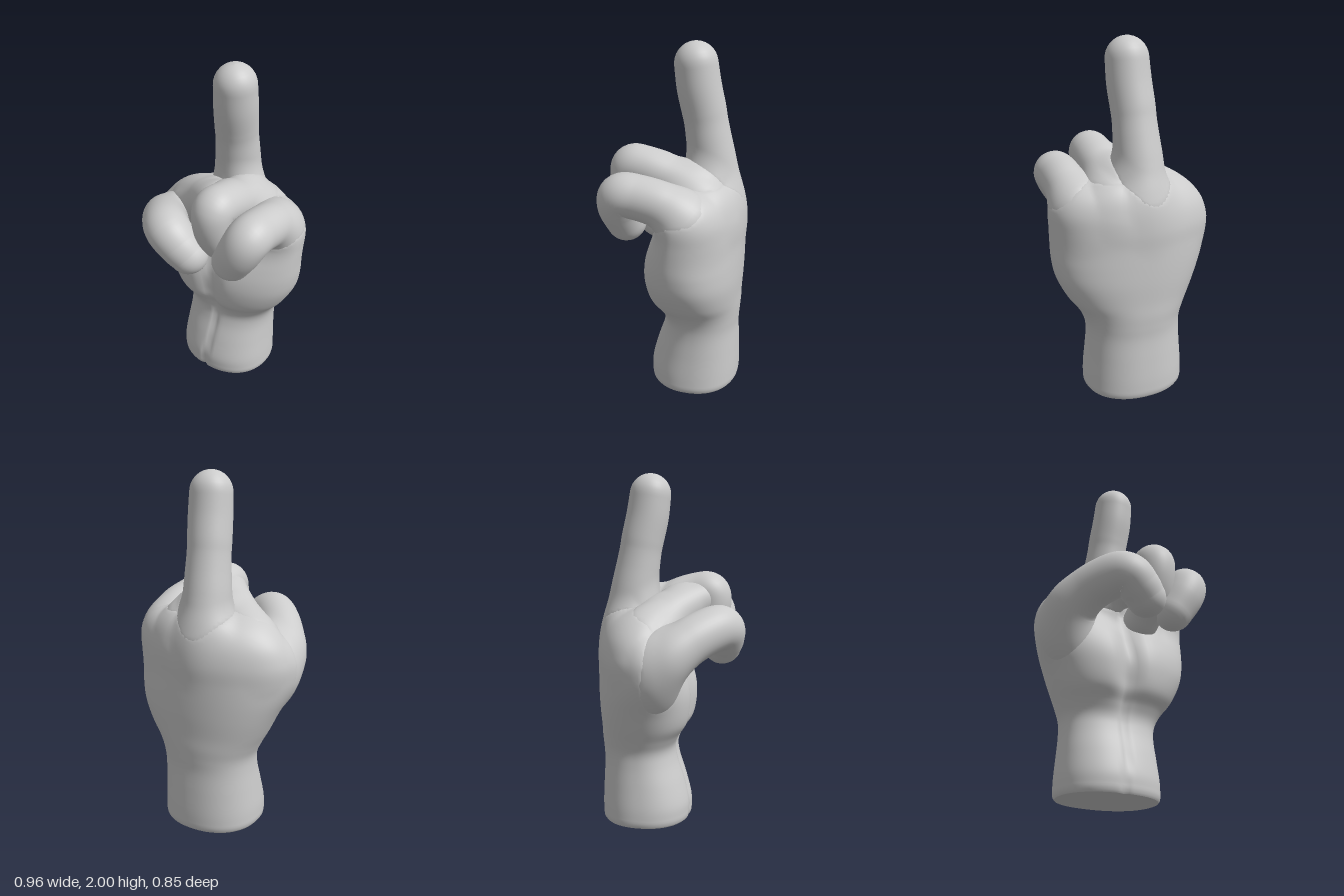
import * as THREE from 'three';

const SIDES = 96;
const { smoothstep } = THREE.MathUtils;
const material = new THREE.MeshStandardMaterial({ color: 0xcccccc });

// Closed skin over a list of equal rings of points
function skin(name, rings) {
  const position = [], index = [];
  const n = rings[0].length;
  rings.forEach((ring) => ring.forEach((p) => position.push(p.x, p.y, p.z)));
  for (let i = 0; i < rings.length - 1; i++) {
    for (let j = 0; j < n; j++) {
      const k = (j + 1) % n;
      const a = i * n + j, b = i * n + k, c = b + n, d = a + n;
      index.push(a, d, c, a, c, b);
    }
  }
  const geometry = new THREE.BufferGeometry();
  geometry.setAttribute('position', new THREE.Float32BufferAttribute(position, 3));
  geometry.setIndex(index);
  geometry.computeVertexNormals();
  const mesh = new THREE.Mesh(geometry, material);
  mesh.name = name;
  return mesh;
}

const curve = (points) => new THREE.CatmullRomCurve3(points, false, 'catmullrom', 0.5);

// Round-ended digit swept along [x, y, z, radius] points
function digit(name, points, sides = 40) {
  const path = curve(points.map(([x, y, z]) => new THREE.Vector3(x, y, z)));
  const radii = curve(points.map((p) => new THREE.Vector3(p[3], 0, 0)));
  const steps = (points.length - 1) * 10, cap = 8;
  const rings = [];
  const side = new THREE.Vector3(1, 0.02, 0);
  const addRing = (t, offset, scale) => {
    const tangent = path.getTangent(t);
    const r = radii.getPoint(t).x;
    side.addScaledVector(tangent, -side.dot(tangent)).normalize();
    const other = new THREE.Vector3().crossVectors(side, tangent);
    const centre = path.getPoint(t).addScaledVector(tangent, offset * r);
    rings.push(Array.from({ length: sides }, (_, j) => {
      const a = (j / sides) * Math.PI * 2;
      return centre.clone()
        .addScaledVector(side, Math.cos(a) * r * scale)
        .addScaledVector(other, Math.sin(a) * r * scale);
    }));
  };
  for (let i = 0; i < cap; i++) {
    const a = (i / cap) * Math.PI / 2;
    addRing(0, -Math.cos(a), Math.sin(a));
  }
  for (let i = 0; i <= steps; i++) addRing(i / steps, 0, 1);
  for (let i = 1; i <= cap; i++) {
    const a = (i / cap) * Math.PI / 2;
    addRing(1, Math.sin(a), Math.cos(a));
  }
  return skin(name, rings);
}

// Wrist, heel of the hand and knuckles as one loft
function palm() {
  // y, right x, left x, back z, widest z, front z
  const rows = [
    [0.04, -0.29, 0.29, -0.41, -0.15, 0.11],
    [0.12, -0.288, 0.288, -0.41, -0.15, 0.107],
    [0.24, -0.276, 0.282, -0.405, -0.16, 0.075],
    [0.36, -0.265, 0.28, -0.4, -0.17, 0.035],
    [0.44, -0.268, 0.292, -0.405, -0.17, 0.025],
    [0.51, -0.295, 0.325, -0.41, -0.16, 0.055],
    [0.59, -0.335, 0.385, -0.412, -0.15, 0.11],
    [0.7, -0.385, 0.44, -0.418, -0.14, 0.13],
    [0.8, -0.425, 0.462, -0.42, -0.13, 0.125],
    [0.9, -0.452, 0.468, -0.42, -0.12, 0.095],
    [1.0, -0.46, 0.467, -0.42, -0.12, 0.045],
    [1.1, -0.42, 0.455, -0.405, -0.13, 0.02],
    [1.18, -0.33, 0.4, -0.375, -0.14, -0.01],
    [1.23, -0.21, 0.3, -0.33, -0.15, -0.05],
    [1.255, -0.07, 0.15, -0.26, -0.17, -0.1],
  ];
  const across = curve(rows.map((r) => new THREE.Vector3(r[1], r[0], r[2])));
  const depth = curve(rows.map((r) => new THREE.Vector3(r[3], r[4], r[5])));
  const ring = (t, scale = 1, drop = 0) => {
    const { x: x0, y, z: x1 } = across.getPoint(t);
    const { x: back, y: mid, z: front } = depth.getPoint(t);
    const cx = (x0 + x1) / 2, rx = (x1 - x0) / 2;
    // groove between the two heel pads, fading to a thin line on the wrist
    const pad = smoothstep(y, 0.42, 0.65) * (1 - smoothstep(y, 1.05, 1.2));
    const seamX = 0.01 - 0.04 * (1 - smoothstep(y, 0, 0.3));
    // the back of the hand slopes off towards both knuckle ends
    const slope = smoothstep(y, 0.6, 1);
    return Array.from({ length: SIDES }, (_, j) => {
      const a = (j / SIDES) * Math.PI * 2, c = Math.cos(a), s = Math.sin(a);
      const e = s > 0 ? 0.9 : 0.9 + slope * (c < 0 ? 0.15 : 0.08);
      const x = cx + rx * scale * Math.sign(c) * Math.abs(c) ** e;
      let z = mid + (s > 0 ? front - mid : mid - back) * scale * Math.sign(s) * Math.abs(s) ** e;
      if (s > 0) {
        z -= scale * 0.05 * pad * Math.exp(-(((x - seamX) / 0.07) ** 2));
        z -= scale * 0.015 * (1 - smoothstep(y, 0.8, 1)) * Math.exp(-(((x - seamX) / 0.016) ** 2));
      }
      const tilt = -0.025 * x * Math.max(0, 1 - y / 0.3);
      return new THREE.Vector3(x, y - drop + tilt, z);
    });
  };
  // flat underside, with a doubled ring for its hard edge
  const rings = [ring(0, 0, 0.032), ring(0, 0.96, 0.032), ring(0, 0.96, 0.032), ring(0, 0.99, 0.02)];
  const steps = (rows.length - 1) * 6;
  for (let i = 0; i <= steps; i++) rings.push(ring(i / steps));
  rings.push(ring(1, 0, -0.01));
  return skin('palmAndWrist', rings);
}

// Swell each pair of skins where they meet, so they flow into one another at the roots
function fillet(pairs, width) {
  const swell = new Map();
  const p = new THREE.Vector3(), q = new THREE.Vector3(), n = new THREE.Vector3();
  const measure = (mesh, other) => {
    const from = mesh.geometry.attributes.position;
    const to = other.geometry.attributes.position;
    const amounts = swell.get(mesh) ?? new Float32Array(from.count);
    swell.set(mesh, amounts);
    for (let i = 0; i < from.count; i++) {
      p.fromBufferAttribute(from, i);
      const weight = smoothstep(p.y, 0.65, 0.9) * (1 - smoothstep(p.z, -0.04, 0.12));
      if (weight === 0) continue;
      let nearest = 0, best = Infinity;
      for (let j = 0; j < to.count; j++) {
        const d = p.distanceToSquared(q.fromBufferAttribute(to, j));
        if (d < best) { best = d; nearest = j; }
      }
      q.fromBufferAttribute(to, nearest);
      n.fromBufferAttribute(other.geometry.attributes.normal, nearest);
      const overlap = Math.max(0, width - Math.abs(p.sub(q).dot(n)));
      amounts[i] = Math.max(amounts[i], weight * overlap ** 2 / (4 * width));
    }
  };
  pairs.forEach(([a, b]) => { measure(a, b); measure(b, a); });
  swell.forEach((amounts, { geometry }) => {
    const { position, normal } = geometry.attributes;
    amounts.forEach((amount, i) => {
      n.fromBufferAttribute(normal, i);
      p.fromBufferAttribute(position, i).addScaledVector(n, amount);
      position.setXYZ(i, p.x, p.y, p.z);
    });
    geometry.computeVertexNormals();
  });
}

export function createModel() {
  const hand = new THREE.Group();
  hand.name = 'hand';
  const body = palm();

  // Upright finger
  const raised = digit('raisedFinger', [
    [-0.01, 0.85, -0.2, 0.12], [-0.01, 1.05, -0.25, 0.135], [-0.01, 1.2, -0.25, 0.137],
    [-0.005, 1.35, -0.225, 0.133], [0.002, 1.48, -0.203, 0.125], [0.006, 1.57, -0.188, 0.12],
    [0.01, 1.64, -0.175, 0.121], [0.02, 1.76, -0.15, 0.121], [0.025, 1.883, -0.133, 0.117],
  ]);

  // Folded digit on the right side, rising from its pad
  const right = digit('rightFoldedDigit', [
    [-0.18, 0.62, -0.15, 0.11], [-0.29, 0.84, -0.06, 0.14], [-0.328, 0.99, 0.015, 0.145],
    [-0.27, 1.09, 0.13, 0.13], [-0.17, 1.15, 0.25, 0.127], [-0.105, 1.145, 0.295, 0.125],
    [-0.04, 1.09, 0.297, 0.118], [0.01, 1.04, 0.285, 0.11],
  ]);

  // Folded finger in the middle
  const middle = digit('middleFoldedFinger', [
    [0.12, 1.05, -0.22, 0.13], [0.13, 1.2, -0.175, 0.128], [0.128, 1.28, 0, 0.12],
    [0.125, 1.325, 0.14, 0.12], [0.122, 1.32, 0.2, 0.118], [0.12, 1.23, 0.205, 0.112],
    [0.12, 1.12, 0.16, 0.108], [0.12, 1.03, 0.06, 0.1],
  ]);

  // Folded finger on the left side
  const left = digit('leftFoldedFinger', [
    [0.26, 0.96, -0.15, 0.13], [0.315, 1.11, -0.14, 0.132], [0.333, 1.185, -0.04, 0.125],
    [0.335, 1.22, 0.1, 0.122], [0.335, 1.222, 0.19, 0.122], [0.3, 1.15, 0.215, 0.12],
    [0.24, 1.045, 0.2, 0.112],
  ]);

  // Web of flesh rising from the right knuckle to the middle finger
  const web = digit('knuckleWeb', [
    [-0.28, 0.95, -0.12, 0.13], [-0.21, 1.1, -0.1, 0.137], [-0.07, 1.2, -0.02, 0.13],
    [0.04, 1.265, 0.08, 0.12], [0.1, 1.3, 0.16, 0.11],
  ]);

  fillet([
    [body, raised], [body, right], [body, middle], [body, left], [body, web],
    [web, raised], [web, middle], [web, right], [middle, raised],
  ], 0.1);
  hand.add(body, raised, right, middle, left, web);
  return hand;
}
